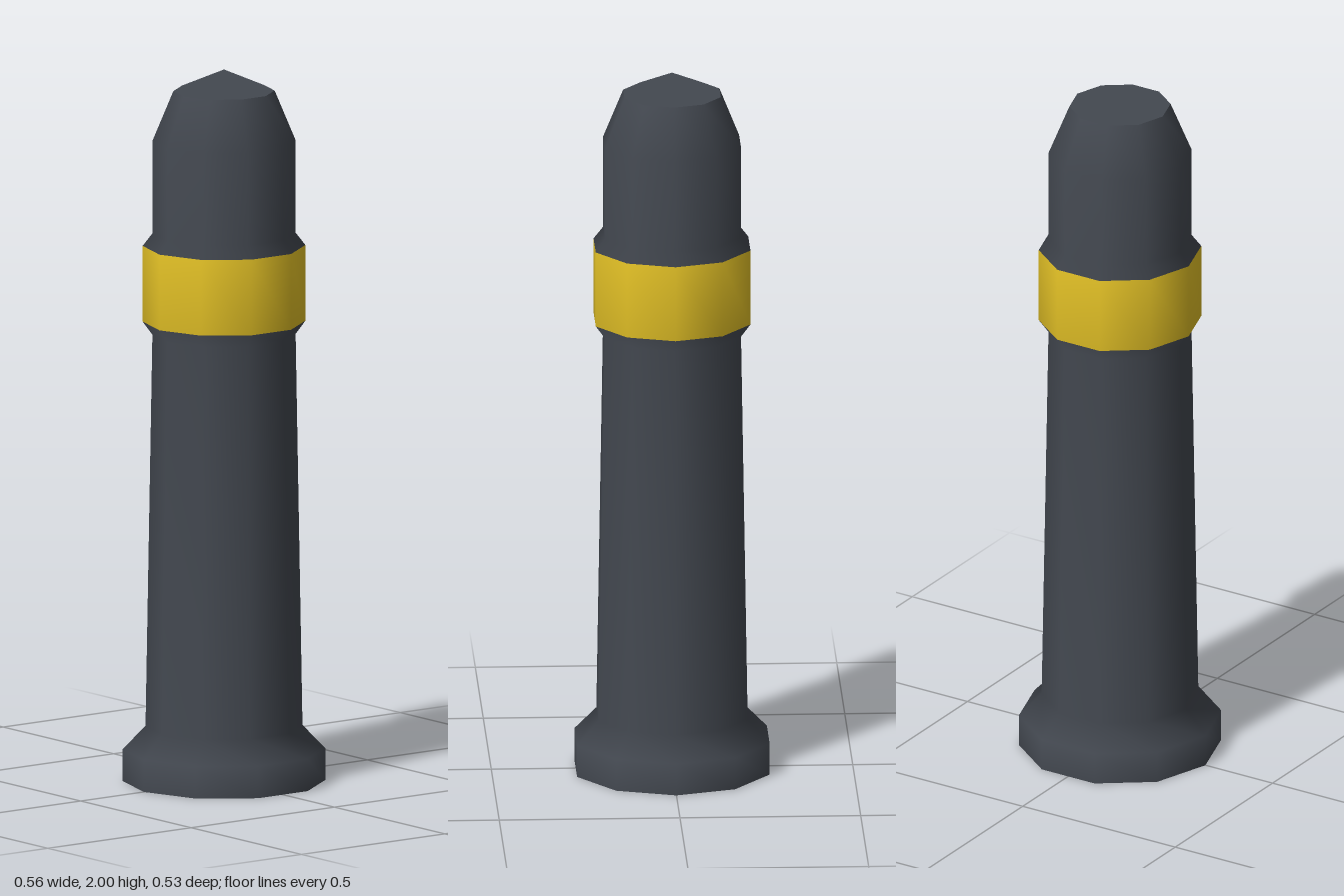
import * as THREE from 'three';

const SIDES = 10;

export function createModel() {
  const darkGrey = new THREE.MeshStandardMaterial({ color: 0x434850 });
  darkGrey.name = 'dark grey';
  const yellow = new THREE.MeshStandardMaterial({ color: 0xe3c126 });
  yellow.name = 'yellow';

  const model = new THREE.Group();
  model.name = 'bollard';
  const add = (name, geometry, material) => {
    const mesh = new THREE.Mesh(geometry, material);
    mesh.name = name;
    model.add(mesh);
    return mesh;
  };
  // Ten-sided lathe with corners on the x axis
  const lathe = (points) => new THREE.LatheGeometry(
    points.map(([r, y]) => new THREE.Vector2(r, y)), SIDES, Math.PI / 2);

  // Post: flared foot, tapered shaft, raised band and chamfered head
  const profile = [
    [0.28, 0], [0.28, 0.09], [0.217, 0.155], [0.198, 1.255],
    [0.225, 1.292], [0.225, 1.505], [0.198, 1.54], [0.198, 1.8], [0.14, 1.94],
  ];
  const bandRow = 4;
  const rows = profile.length - 1;
  const post = lathe(profile);
  // Colour the band row of every side yellow, keeping the normals continuous
  for (let i = 0; i < SIDES; i++) {
    const start = i * rows * 6;
    post.addGroup(start, bandRow * 6, 0);
    post.addGroup(start + bandRow * 6, 6, 1);
    post.addGroup(start + (bandRow + 1) * 6, (rows - bandRow - 1) * 6, 0);
  }
  add('postWithBand', post, [darkGrey, yellow]);

  // Shallow pointed cap, softly shaded as one surface
  const cap = lathe([[0.14, 1.94], [0, 2]]);
  const normal = cap.attributes.normal;
  for (let i = 0; i < normal.count; i++) normal.setXYZ(i, 0, 1, 0);
  add('cap', cap, darkGrey);

  // Underside
  add('underside', new THREE.CircleGeometry(0.28, SIDES).rotateX(Math.PI / 2), darkGrey);

  return model;
}
